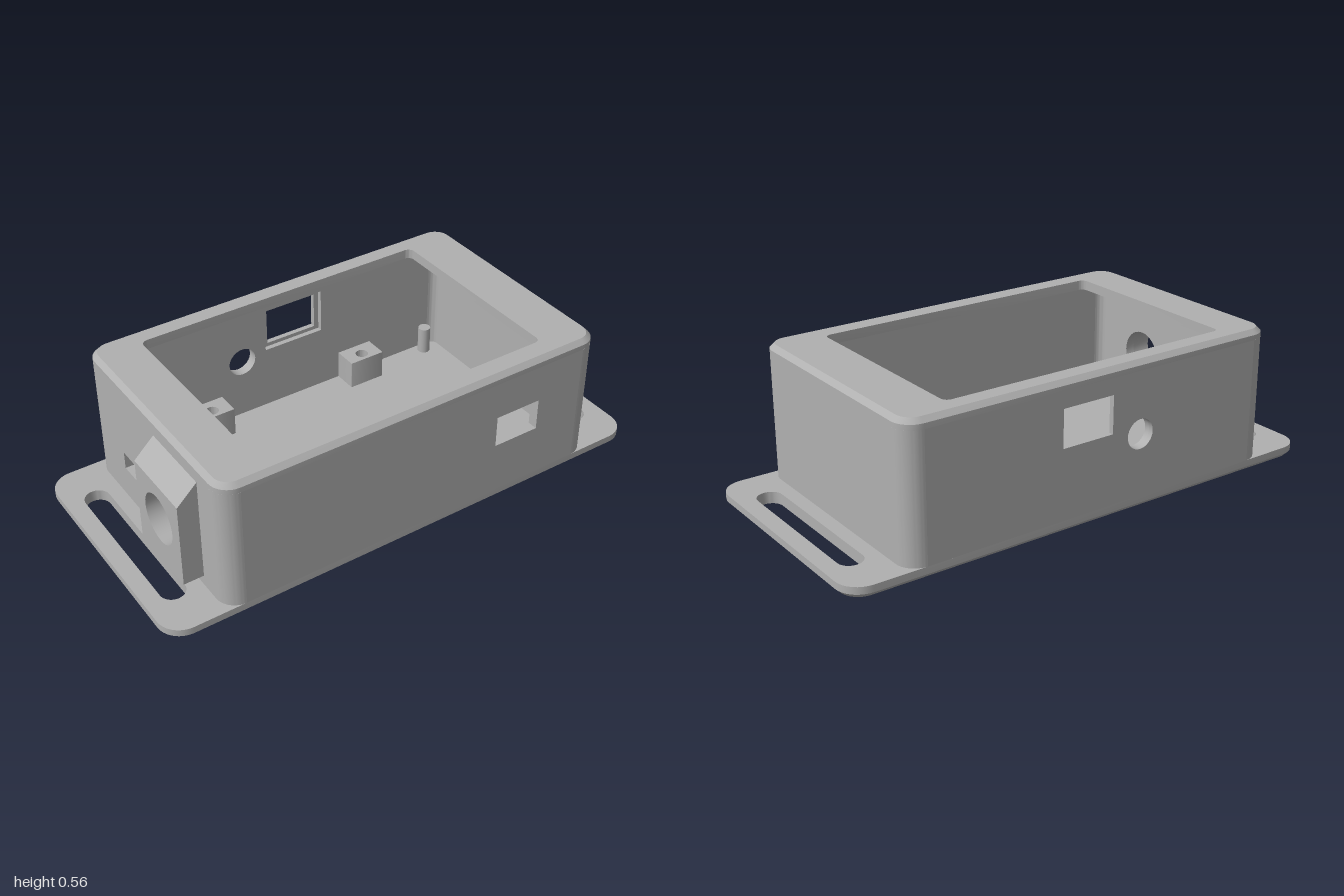
import * as THREE from 'three';
import { mergeGeometries, toCreasedNormals } from 'three/addons/utils/BufferGeometryUtils.js';

const HX = 0.785, HZ = 0.477, T = 0.04, R = 0.075;   // box half sizes, wall, corner radius
const FLOOR = 0.045, LID = 0.522, TOP = 0.56, CH = 0.018;

// Rounded rectangle outline, counter-clockwise, in (x, -z) coordinates
function outline(cx, cz, hx, hz, r) {
  const pts = [];
  [[1, 1], [-1, 1], [-1, -1], [1, -1]].forEach(([sx, sy], q) => {
    for (let i = 0; i <= 8; i++) {
      const a = (q + i / 8) * Math.PI / 2;
      const p = new THREE.Vector2(cx + sx * (hx - r) + r * Math.cos(a), -cz + sy * (hz - r) + r * Math.sin(a));
      if (!pts.length || p.distanceTo(pts[pts.length - 1]) > 1e-5) pts.push(p);
    }
  });
  if (pts[0].distanceTo(pts[pts.length - 1]) < 1e-5) pts.pop();
  return pts;
}
const circle = (x, z, r) => outline(x, z, r, r, r);

// Side surface through outlines at rising heights; inward for bores
function band(sections, inward = false) {
  const pos = [];
  for (let s = 0; s + 1 < sections.length; s++) {
    const [lo, h0] = sections[s], [hi, h1] = sections[s + 1];
    lo.forEach((p, i) => {
      const j = (i + 1) % lo.length;
      const a = [p.x, h0, -p.y], b = [lo[j].x, h0, -lo[j].y];
      const c = [hi[j].x, h1, -hi[j].y], d = [hi[i].x, h1, -hi[i].y];
      pos.push(...(inward ? [a, c, b, a, d, c] : [a, b, c, a, c, d]).flat());
    });
  }
  const g = new THREE.BufferGeometry();
  g.setAttribute('position', new THREE.Float32BufferAttribute(pos, 3));
  return g;
}

// Flat horizontal face with holes
function cap(pts, holes, h, down = false) {
  const shape = new THREE.Shape(pts);
  shape.holes = holes.map(p => new THREE.Path(p));
  let g = new THREE.ShapeGeometry(shape).rotateX(-Math.PI / 2).translate(0, h, 0);
  if (down) g.index.array.reverse();
  g = g.toNonIndexed();
  g.deleteAttribute('uv');
  g.deleteAttribute('normal');
  return g;
}

const join = parts => toCreasedNormals(mergeGeometries(parts), 0.5);

const rectPath = ([u0, u1, v0, v1], Type = THREE.Path) => new Type([
  new THREE.Vector2(u0, v0), new THREE.Vector2(u1, v0), new THREE.Vector2(u1, v1), new THREE.Vector2(u0, v1)]);
const discPath = (u, v, r) => new THREE.Path().absarc(u, v, r, 0, Math.PI * 2, true);

// Upright panel with openings, extruded along +z
function panel(rect, holes, depth) {
  const shape = rectPath(rect, THREE.Shape);
  shape.holes = holes;
  return toCreasedNormals(new THREE.ExtrudeGeometry(shape, { depth, bevelEnabled: false, curveSegments: 16 }), 0.5);
}

export function createModel() {
  const model = new THREE.Group();
  const grey = new THREE.MeshStandardMaterial({ color: 0xb0b0b0 });
  grey.name = 'plasticGrey';
  const add = (name, geometry) => {
    const m = new THREE.Mesh(geometry, grey);
    m.name = name;
    model.add(m);
    return m;
  };

  // Mounting plate with strap slots and countersunk screw holes
  const screws = [[-0.348, -0.38], [0.342, -0.38], [-0.348, 0.376], [0.342, 0.376]];
  const slots = [-1, 1].map(s => outline(s * 0.887, 0, 0.047, 0.332, 0.047));
  const bores = screws.map(([x, z]) => [circle(x, z, 0.05), circle(x, z, 0.025)]);
  const plate = outline(0, 0, 1, HZ, 0.09);
  const plateLow = outline(0, 0, 1 - CH, HZ - CH, 0.09 - CH);
  add('mountingPlate', join([
    band([[plateLow, 0], [plate, CH], [plate, FLOOR]]),
    cap(plateLow, [...slots, ...bores.map(b => b[0])], 0, true),
    cap(plate, [...slots, ...bores.map(b => b[1])], FLOOR),
    ...slots.map(s => band([[s, 0], [s, FLOOR]], true)),
    ...bores.map(([wide, thin]) => band([[wide, 0], [thin, 0.025], [thin, 0.16]], true)),
  ]));

  // Screw bosses against the long walls
  screws.forEach(([x, z], i) => {
    const s = Math.sign(z);
    const block = outline(x, s * 0.39, 0.075, 0.048, 0.001);
    add('screwBoss', join([
      band([[block, FLOOR], [block, 0.16]]),
      cap(block, [bores[i][1]], 0.16),
    ]));
  });

  // Small board posts in the corners
  for (const x of [-0.67, 0.67]) for (const z of [-0.4, 0.4]) {
    add('boardPost', new THREE.CylinderGeometry(0.025, 0.025, 0.11, 16)).position.set(x, FLOOR + 0.055, z);
  }

  // Front and back walls
  const long = [-(HX - R), HX - R, FLOOR, LID];
  add('frontWall', panel(long, [rectPath([0.33, 0.518, 0.25, 0.375])], T)).position.z = HZ - T;
  const button = () => discPath(-0.175, 0.285, 0.057);
  add('backWallOuter', panel(long, [rectPath([-0.05, 0.165, 0.315, 0.46]), button()], T / 2)).position.z = -HZ;
  add('backWallInner', panel(long, [rectPath([-0.07, 0.185, 0.3, 0.478]), button()], T / 2)).position.z = -HZ + T / 2;

  // End walls
  const short = [-(HZ - R), HZ - R, FLOOR, LID];
  add('leftWall', panel(short, [], T).rotateY(Math.PI / 2)).position.x = HX - T;
  const socketHole = () => discPath(0.178, 0.27, 0.095);
  add('rightWall', panel(short, [rectPath([-0.236, -0.07, 0.175, 0.245]), socketHole()], T)
    .rotateY(-Math.PI / 2)).position.x = -HX + T;

  // Socket housing with a sloped top
  add('socketHousing', panel([0.03, 0.325, 0.088, 0.42], [socketHole()], 0.077)
    .rotateY(-Math.PI / 2)).position.x = -HX;
  const slope = new THREE.Shape([
    new THREE.Vector2(-HX - 0.077, 0.42), new THREE.Vector2(-HX, 0.42), new THREE.Vector2(-HX, 0.493)]);
  add('socketSlope', new THREE.ExtrudeGeometry(slope, { depth: 0.295, bevelEnabled: false })).position.z = 0.03;

  // Rounded corner posts joining the walls
  for (let q = 0; q < 4; q++) {
    const a = q * Math.PI / 2;
    const arc = new THREE.Shape().absarc(0, 0, R, a, a + Math.PI / 2, false)
      .absarc(0, 0, R - T, a + Math.PI / 2, a, true);
    const g = new THREE.ExtrudeGeometry(arc, { depth: LID - FLOOR, bevelEnabled: false, curveSegments: 10 });
    add('wallCorner', toCreasedNormals(g.rotateX(-Math.PI / 2), 0.5)).position.set(
      (q === 0 || q === 3 ? 1 : -1) * (HX - R), FLOOR, (q < 2 ? -1 : 1) * (HZ - R));
  }

  // Top frame with chamfered rim and screen opening
  const rim = outline(0, 0, HX, HZ, R);
  const rimTop = outline(0, 0, HX - CH, HZ - CH, R - CH);
  const opening = outline(-0.012, -0.004, 0.593, 0.393, 0.025);
  add('topFrame', join([
    band([[rim, LID], [rim, TOP - CH], [rimTop, TOP]]),
    band([[opening, LID], [opening, TOP]], true),
    cap(rim, [opening], LID, true),
    cap(rimTop, [opening], TOP),
  ]));

  return model;
}
